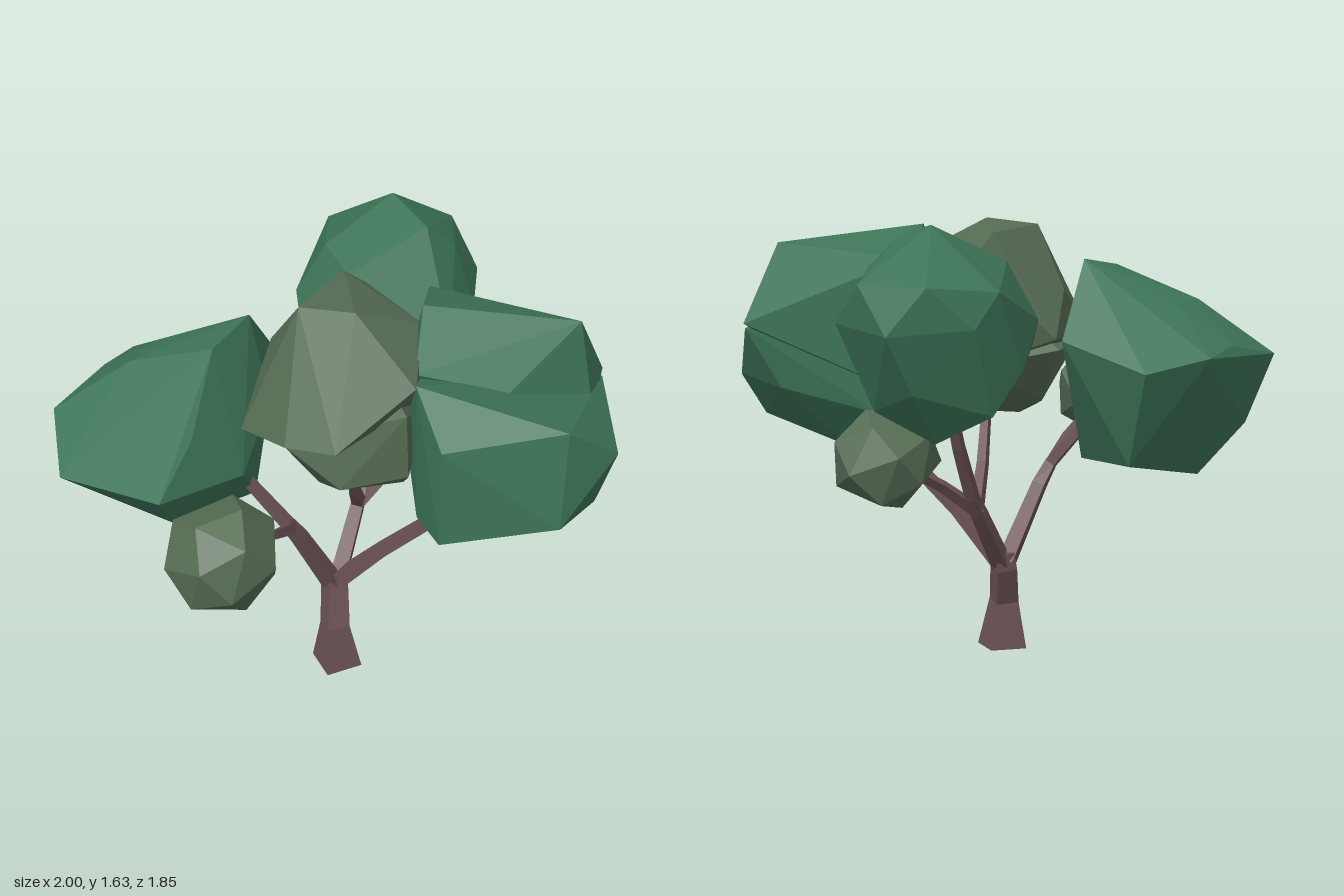
import * as THREE from 'three';
import { ConvexGeometry } from 'three/addons/geometries/ConvexGeometry.js';

const paint = (color) => new THREE.MeshStandardMaterial({ color, flatShading: true });
const BARK = paint(0x6b5154), GREEN = paint(0x3d7457), OLIVE = paint(0x566c54);

// Tapered four-sided limb swept along stations [x, y, z, radius]
function limb(stations, turn) {
  const pts = stations.map(([x, y, z]) => new THREE.Vector3(x, y, z));
  const pos = [], idx = [], last = pts.length - 1;
  pts.forEach((p, i) => {
    const t = pts[Math.min(i + 1, last)].clone().sub(pts[Math.max(i - 1, 0)]).normalize();
    const u = t.clone().cross(new THREE.Vector3(0, 0, 1)).normalize();
    const v = t.clone().cross(u);
    for (let j = 0; j < 4; j++) {
      const a = turn + j * Math.PI / 2, r = stations[i][3];
      const q = p.clone().addScaledVector(u, r * Math.cos(a)).addScaledVector(v, r * Math.sin(a));
      pos.push(q.x, Math.max(q.y, 0), q.z);
      if (i < last) {
        const a0 = i * 4 + j, b0 = i * 4 + (j + 1) % 4;
        idx.push(a0, b0, b0 + 4, a0, b0 + 4, a0 + 4);
      }
    }
  });
  const e = last * 4;
  idx.push(0, 2, 1, 0, 3, 2, e, e + 1, e + 2, e, e + 2, e + 3);
  const g = new THREE.BufferGeometry();
  g.setAttribute('position', new THREE.Float32BufferAttribute(pos, 3));
  g.setIndex(idx);
  g.computeVertexNormals();
  return g;
}

// Faceted clump spanned by its corner points
const clump = (corners) => new ConvexGeometry(corners.map((p) => new THREE.Vector3(...p)));

// Small round clump: hull of points spiralled over an ellipsoid
function ball(center, radii, n = 18) {
  const corners = [];
  for (let i = 0; i < n; i++) {
    const y = 1 - 2 * (i + 0.5) / n, r = Math.sqrt(1 - y * y), a = i * 2.39996;
    const k = 1.05 + 0.04 * Math.sin(i * 5.1);
    corners.push([r * Math.cos(a), y, r * Math.sin(a)].map((c, m) => center[m] + c * k * radii[m]));
  }
  return clump(corners);
}

export function createModel() {
  const tree = new THREE.Group();
  tree.name = 'tree';
  const add = (name, geometry, material) => {
    const m = new THREE.Mesh(geometry, material);
    m.name = name;
    tree.add(m);
  };

  // Trunk and branches
  add('trunk', limb([[0.005, 0, 0.145, 0.1], [-0.002, 0.18, 0.15, 0.06],
    [-0.01, 0.32, 0.09, 0.055], [-0.01, 0.38, 0.08, 0.045]], -0.26), BARK);
  const branches = {
    rightBranch: [[-0.02, 0.34, 0.09, 0.042], [-0.13, 0.62, 0.19, 0.034], [-0.17, 0.7, 0.22, 0.028], [-0.34, 0.9, 0.2, 0.022]],
    rightFrontTwig: [[-0.15, 0.66, 0.2, 0.028], [-0.2, 0.77, 0.4, 0.02], [-0.28, 0.87, 0.62, 0.016]],
    leftBranch: [[0.0, 0.34, 0.08, 0.042], [0.17, 0.53, 0.12, 0.033], [0.35, 0.7, 0.15, 0.03], [0.45, 0.9, 0.18, 0.022]],
    leftTwig: [[0.33, 0.69, 0.15, 0.024], [0.35, 0.78, 0.17, 0.022], [0.36, 0.92, 0.2, 0.018]],
    backBranch: [[0.0, 0.34, 0.08, 0.042], [0.05, 0.54, -0.08, 0.035], [0.07, 0.62, -0.14, 0.03], [0.1, 0.82, -0.25, 0.026], [0.12, 1.02, -0.34, 0.022]],
    centreBranch: [[0.06, 0.57, -0.11, 0.03], [0.06, 0.72, 0.03, 0.025], [0.07, 0.95, 0.2, 0.02]],
    leftBackTwig: [[0.05, 0.56, -0.1, 0.03], [0.17, 0.67, -0.2, 0.024], [0.33, 0.79, -0.35, 0.018]],
  };
  for (const name in branches) add(name, limb(branches[name], 0.6), BARK);

  // Left foliage: a broad front lump with a crest rising behind a groove
  add('leftFoliageFront', clump([[0.3, 1.44, 0.4], [0.82, 1.34, 0.48], [0.81, 0.98, 0.53],
    [0.4, 0.88, 0.53], [0.4, 1.26, 0.53], [0.99, 1.19, 0.36], [1, 1.03, 0.11], [0.93, 0.87, 0.2],
    [0.57, 0.77, 0.05], [0.31, 0.86, 0.35], [0.25, 1.13, 0.2], [0.61, 1.34, 0.26],
    [0.84, 1.27, 0.09], [0.42, 0.92, -0.12], [0.8, 1, -0.06], [0.93, 1.22, -0.08],
    [0.33, 1.25, -0.15]]), GREEN);
  add('leftFoliageCrest', clump([[0.3, 1.6, 0.14], [0.84, 1.53, 0.07], [0.93, 1.24, -0.1],
    [0.3, 1.49, -0.18], [0.22, 1.2, 0], [0.61, 1.35, 0.27], [0.6, 1, 0.1],
    [0.45, 1.05, -0.14], [0.9, 1.2, 0.12], [0.29, 1.42, 0.3]]), GREEN);

  // Right foliage
  add('rightFoliage', clump([[-1, 1.13, 0.21], [-0.94, 0.99, 0.43], [-0.55, 1.04, 0.62],
    [-0.9, 0.88, 0.15], [-0.73, 0.69, 0.1], [-0.3, 0.74, 0.1], [-0.31, 1.48, 0.07],
    [-0.41, 1.45, 0.26], [-0.72, 1.33, 0.18], [-0.66, 1.32, 0.02], [-0.57, 1.1, -0.3],
    [-0.26, 1.2, -0.17], [-0.79, 1.15, -0.2], [-0.24, 1.15, 0.1], [-0.3, 1, 0.36],
    [-0.46, 1.2, 0.46], [-0.5, 0.75, -0.15], [-0.55, 0.8, 0.4], [-0.86, 1.18, -0.02]]), GREEN);

  // Centre foliage: a crown overhanging a smaller lump
  add('centreFoliageCrown', clump([[0.05, 1.27, 0.59], [-0.13, 1.24, 0.52], [-0.31, 1.17, 0.32],
    [-0.24, 1.37, 0.04], [-0.12, 1.6, 0.2], [0.08, 1.62, 0.25], [0, 1.58, -0.1],
    [0.07, 1.48, -0.2], [0.3, 1.5, 0.1], [0.3, 1.42, 0.39], [0.32, 1.2, 0.1],
    [0.05, 1.1, -0.12], [-0.23, 1.2, -0.1], [0.05, 1.15, 0.38]]), OLIVE);
  add('centreFoliageBase', clump([[-0.27, 1.17, 0.18], [0.27, 1.3, 0.38], [-0.15, 1.18, 0.42],
    [0.32, 1.15, 0.1], [0.28, 1.05, 0.38], [0.25, 0.9, 0.2], [-0.05, 0.89, 0.22],
    [-0.15, 0.95, 0.1], [0.05, 1.1, -0.12], [-0.23, 1.15, 0], [0.05, 1.02, 0.44],
    [0.1, 1.4, 0.1]]), OLIVE);

  // Back foliage
  add('backFoliage', clump([[0.13, 1.63, -0.6], [-0.1, 1.5, -0.42], [0.27, 1.59, -0.43],
    [0, 1.47, -0.25], [0.17, 1.24, -0.19], [0.38, 1.25, -0.21], [-0.17, 1.2, -0.27],
    [-0.21, 1.3, -0.42], [-0.19, 1.15, -0.65], [-0.13, 1.42, -0.78], [0.22, 1.28, -0.93],
    [0.09, 1.44, -0.9], [0.34, 1.44, -0.8], [0.45, 1.3, -0.66], [0.45, 1.25, -0.47],
    [0.37, 1.48, -0.5], [0.15, 0.89, -0.52], [0.1, 0.9, -0.7], [0.15, 1.08, -0.84],
    [-0.1, 1, -0.72], [0.32, 1, -0.65], [0.3, 1, -0.36], [-0.05, 0.98, -0.35],
    [-0.06, 1.3, -0.84]]), GREEN);

  // Small round clumps on the twigs
  add('smallFrontFoliage', ball([-0.315, 0.925, 0.72], [0.19, 0.195, 0.21]), OLIVE);
  add('smallBackFoliage', ball([0.347, 0.79, -0.367], [0.19, 0.18, 0.19]), OLIVE);

  return tree;
}
